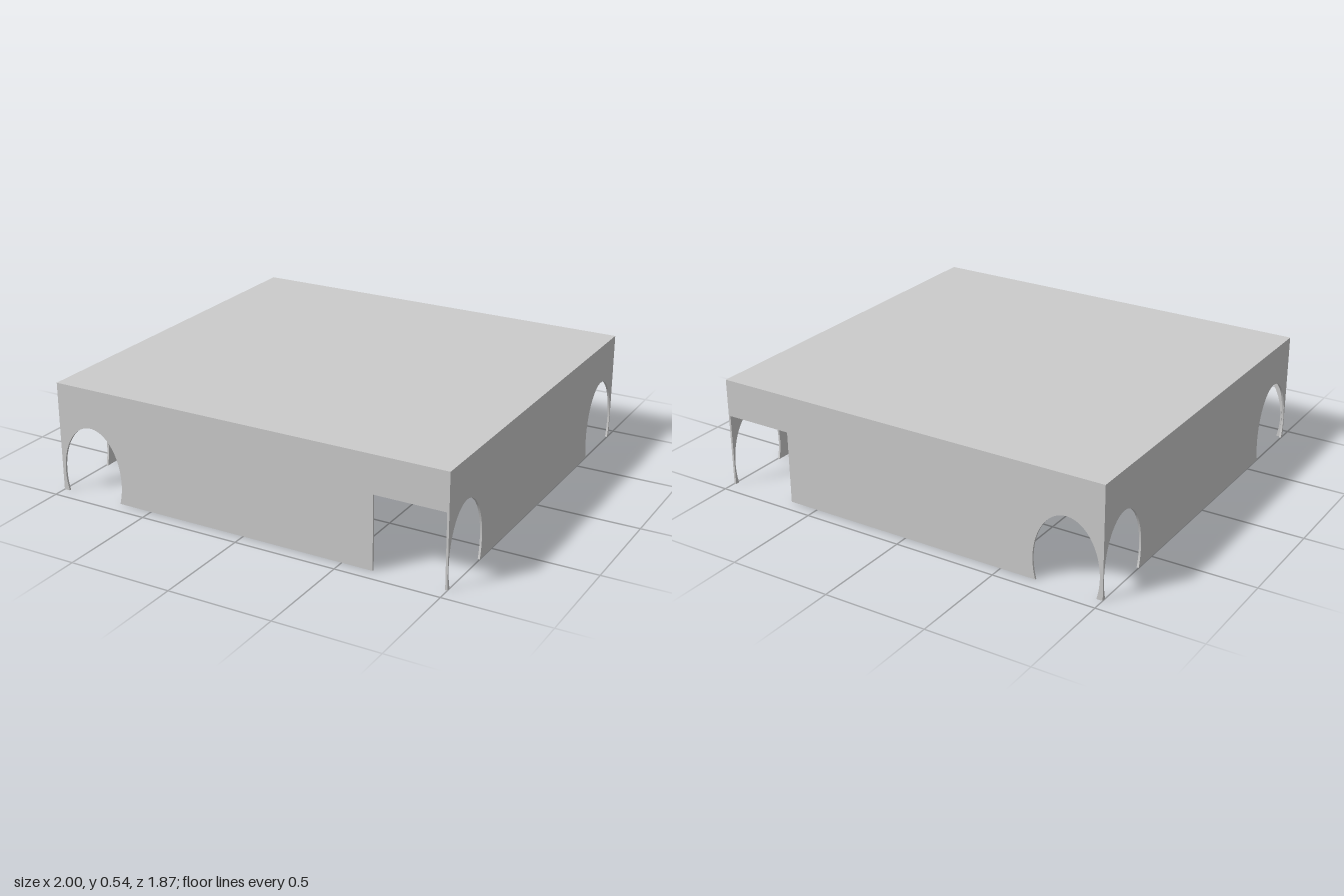
import * as THREE from 'three';

const W = 1, D = 0.935, H = 0.537, T = 0.01; // half width, half depth, height, panel thickness
const ARCH = { rx: 0.162, ry: 0.245, cy: 0.1 };

// Wheel-arch cut-out, traced left to right along the bottom edge
function cutArch(shape, cx) {
  const { rx, ry, cy } = ARCH;
  const a = Math.asin(cy / ry);
  shape.lineTo(cx - rx * Math.cos(a), 0);
  shape.absellipse(cx, cy, rx, ry, Math.PI + a, -a, true);
}

export function createModel() {
  const group = new THREE.Group();
  const material = new THREE.MeshStandardMaterial({ color: 0xcccccc });
  const add = (name, geometry) => {
    const mesh = new THREE.Mesh(geometry, material);
    mesh.name = name;
    group.add(mesh);
    return mesh;
  };
  const panel = (shape) =>
    new THREE.ExtrudeGeometry(shape, { depth: T, bevelEnabled: false, curveSegments: 40 });

  // Flat top
  add('topPanel', new THREE.BoxGeometry(2 * W, T, 2 * D)).position.y = H - T / 2;

  // Front and back walls: one arch and one square doorway at the +x end
  const end = new THREE.Shape();
  const e = W - T, top = H - T;
  end.moveTo(-e, 0);
  cutArch(end, -0.822);
  end.lineTo(0.65, 0);
  end.lineTo(0.65, 0.355);
  end.lineTo(e, 0.355);
  end.lineTo(e, top);
  end.lineTo(-e, top);
  end.closePath();
  add('frontWall', panel(end)).position.z = D - T;
  add('backWall', panel(end)).position.z = -D;

  // Side walls: an arch near each end
  const side = new THREE.Shape();
  side.moveTo(-D, 0);
  cutArch(side, -0.766);
  cutArch(side, 0.766);
  side.lineTo(D, 0);
  side.lineTo(D, top);
  side.lineTo(-D, top);
  side.closePath();
  for (const [name, x] of [['leftWall', W - T], ['rightWall', -W]]) {
    const wall = add(name, panel(side));
    wall.rotation.y = Math.PI / 2;
    wall.position.x = x;
  }
  return group;
}
